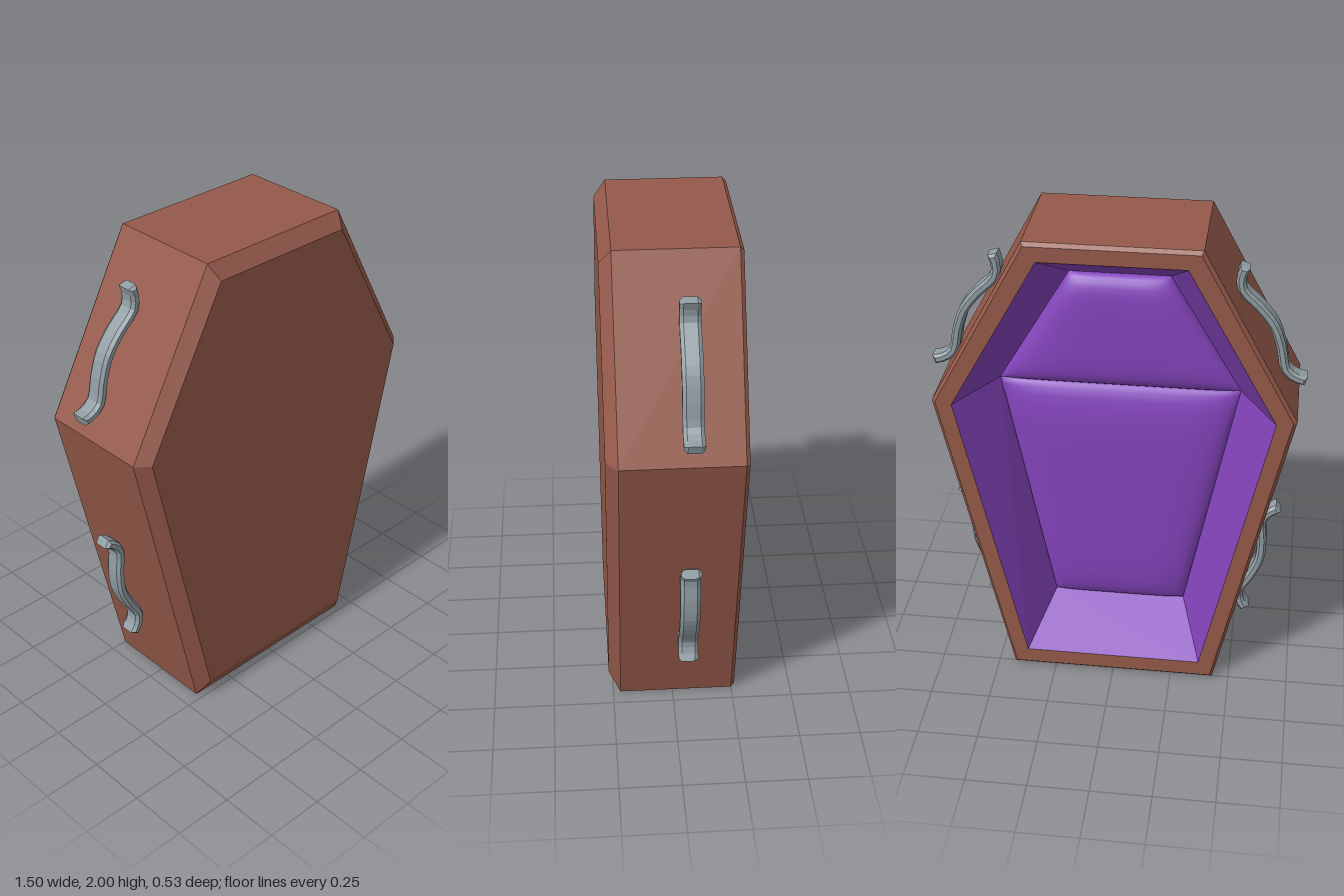
import * as THREE from 'three';

const wood = new THREE.MeshStandardMaterial({ color: 0x95594a });
const satin = new THREE.MeshStandardMaterial({ color: 0x8444bc });
const metal = new THREE.MeshStandardMaterial({ color: 0x8f9ca2 });

// Six-sided ring: half widths and heights at foot, shoulder and head
const ring = (z, [fx, fy], [sx, sy], [hx, hy]) => [
  [fx, fy, z], [sx, sy, z], [hx, hy, z], [-hx, hy, z], [-sx, sy, z], [-fx, fy, z],
];

// Flat-faced skin through successive rings
function loft(rings) {
  const pos = [];
  for (let r = 0; r < rings.length - 1; r++) {
    const a = rings[r], b = rings[r + 1];
    for (let i = 0; i < 6; i++) {
      const j = (i + 1) % 6;
      pos.push(...a[i], ...b[i], ...b[j], ...a[i], ...b[j], ...a[j]);
    }
  }
  const g = new THREE.BufferGeometry();
  g.setAttribute('position', new THREE.Float32BufferAttribute(pos, 3));
  g.computeVertexNormals();
  return g;
}

// Rounded cushion over a trapezoid, swelling toward -z
function padGeometry([x0, y0], [x1, y1], z, height) {
  const n = 20, pos = [], idx = [];
  const swell = (t) => Math.sqrt(Math.max(0, 1 - Math.abs(t) ** 5));
  // Cosine spacing puts more points near the rounded edges
  const at = (i) => -Math.cos((i / n) * Math.PI);
  for (let r = 0; r <= n; r++) {
    for (let c = 0; c <= n; c++) {
      const u = at(c), v = at(r), k = (v + 1) / 2;
      pos.push(u * (x0 + (x1 - x0) * k), y0 + (y1 - y0) * k, z - height * swell(u) * swell(v));
      if (r < n && c < n) {
        const a = r * (n + 1) + c, b = a + n + 1;
        idx.push(a, b, a + 1, a + 1, b, b + 1);
      }
    }
  }
  const g = new THREE.BufferGeometry();
  g.setAttribute('position', new THREE.Float32BufferAttribute(pos, 3));
  g.setIndex(idx);
  g.computeVertexNormals();
  return g;
}

// Wavy bar: local x points away from the wall, y runs along it
function handleGeometry() {
  const curve = new THREE.CatmullRomCurve3([
    [0.064, -0.27], [0.03, -0.235], [0.014, -0.19], [0.042, -0.09], [0.056, 0],
    [0.042, 0.09], [0.014, 0.19], [0.03, 0.235], [0.064, 0.27],
  ].map(([x, y]) => new THREE.Vector3(x, y, 0)));
  const n = 18, half = 0.019, outer = [], inner = [];
  for (let i = 0; i <= n; i++) {
    const p = curve.getPointAt(i / n), t = curve.getTangentAt(i / n);
    outer.push(new THREE.Vector2(p.x + t.y * half, p.y - t.x * half));
    inner.unshift(new THREE.Vector2(p.x - t.y * half, p.y + t.x * half));
  }
  const g = new THREE.ExtrudeGeometry(new THREE.Shape([...outer, ...inner]), {
    depth: 0.052, bevelThickness: 0.014, bevelSize: 0.01, bevelOffset: -0.01, bevelSegments: 1,
  });
  return g.translate(0, 0, -0.026);
}

export function createModel() {
  const group = new THREE.Group();
  const add = (name, geometry, material) => {
    const mesh = new THREE.Mesh(geometry, material);
    mesh.name = name;
    group.add(mesh);
    return mesh;
  };

  const foot = [0.43, 0], shoulder = [0.72, 1.3], head = [0.34, 2];
  const floorZ = -0.015;
  const rim = ring(-0.265, [0.37, 0.08], [0.64, 1.29], [0.285, 1.925]);

  // Wooden shell: front panel, bevel, sides, back bevel and rim
  add('coffinShell', loft([
    ring(0.267, [0, 1], [0, 1], [0, 1]),
    ring(0.267, [0.39, 0.08], [0.667, 1.3], [0.316, 1.94]),
    ring(0.22, foot, shoulder, head),
    ring(-0.25, foot, shoulder, head),
    ring(-0.265, [0.42, 0.014], [0.705, 1.3], [0.332, 1.986]),
    rim,
  ]), wood);

  // Sloping lining with a flat floor under the cushions
  const lowFoot = [0.28, 0.235], lowShoulder = [0.49, 1.29], lowHead = [0.2, 1.78];
  add('lining', loft([
    rim,
    ring(floorZ, lowFoot, lowShoulder, lowHead),
    ring(floorZ, [0, 1], [0, 1], [0, 1]),
  ]), satin);
  add('lowerCushion', padGeometry(lowFoot, lowShoulder, floorZ, 0.06), satin);
  add('upperCushion', padGeometry(lowShoulder, lowHead, floorZ, 0.06), satin);

  // Two handles on each side, set square to their walls
  const handle = handleGeometry();
  for (const [label, a, b, along] of [
    ['lower', foot, shoulder, 0.545],
    ['upper', shoulder, head, 0.338],
  ]) {
    const dx = b[0] - a[0], dy = b[1] - a[1], len = Math.hypot(dx, dy);
    for (const side of [1, -1]) {
      const mesh = add(label + (side > 0 ? 'LeftHandle' : 'RightHandle'), handle, metal);
      mesh.position.set(side * (a[0] + (dx / len) * along), a[1] + (dy / len) * along, -0.058);
      mesh.rotation.z = Math.atan2(-dx, side * dy);
    }
  }
  return group;
}
